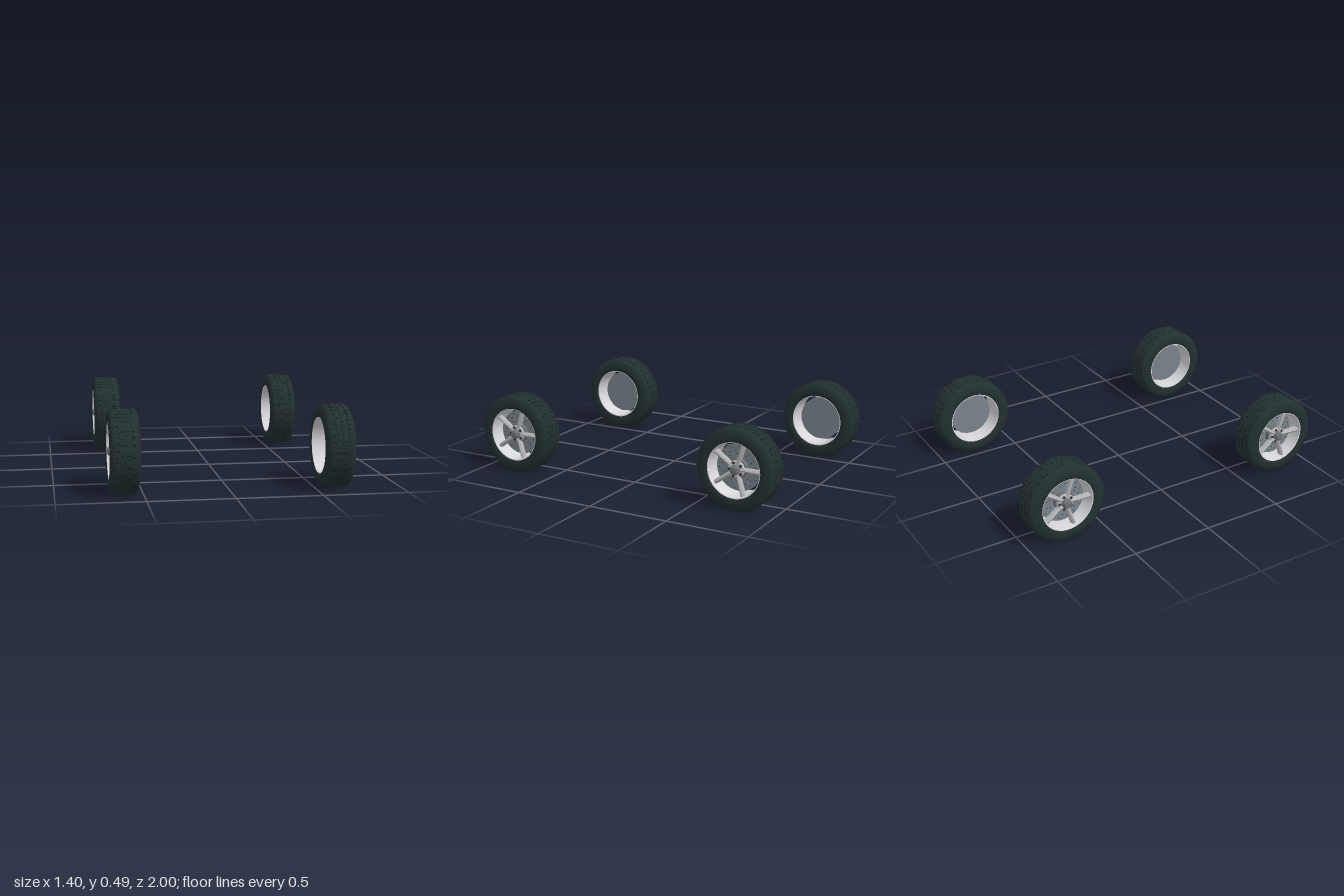
import * as THREE from 'three';
import { mergeGeometries, toCreasedNormals } from 'three/addons/utils/BufferGeometryUtils.js';

const mat = (name, color, side = THREE.FrontSide) =>
  Object.assign(new THREE.MeshStandardMaterial({ color, side }), { name });

const M = {
  rubber: mat('tyre rubber', 0x223030),
  groove: mat('tread groove black', 0x0e1414),
  rim: mat('rim silver', 0xd8d8dc, THREE.DoubleSide),
  spoke: mat('spoke alloy', 0xb4b4b8),
  disc: mat('brake disc steel', 0x78838a),
  hub: mat('hub grey', 0x6c7072),
  dark: mat('bolt and hole dark', 0x2a2e30),
};

const CENTER_X = 0.611, CENTER_Y = 0.243, CENTER_Z = 0.757, R = 0.243;

// Revolves [radius, axial] pairs about the x axis (outer face is +x)
function revolve(points, segments = 64) {
  const g = new THREE.LatheGeometry(points.map(([r, a]) => new THREE.Vector2(r, a)), segments);
  return toCreasedNormals(g.rotateZ(-Math.PI / 2), 0.6);
}

// Cylinder along x, centred at axial position a
const axle = (r, width, a, segments = 48) =>
  new THREE.CylinderGeometry(r, r, width, segments).rotateZ(-Math.PI / 2).translate(a, 0, 0);

// Copies a geometry around the x axis
function ring(geometry, count, offset = 0) {
  const copies = [];
  for (let i = 0; i < count; i++) {
    copies.push(geometry.clone().rotateX(offset + (i / count) * Math.PI * 2));
  }
  return mergeGeometries(copies);
}

// Tyre section with rounded shoulders and circumferential grooves
function tyreGeometry() {
  const p = [[0.162, -0.08], [0.172, -0.086], [0.195, -0.0875], [0.222, -0.081], [0.236, -0.072], [R, -0.058]];
  for (const a of [-0.036, 0, 0.036]) {
    p.push([R, a - 0.0035], [R - 0.006, a - 0.002], [R - 0.006, a + 0.002], [R, a + 0.0035]);
  }
  p.push([R, 0.058], [0.236, 0.072], [0.222, 0.081], [0.195, 0.0875], [0.172, 0.086], [0.162, 0.08]);
  return revolve(p, 80);
}

// Short cross cuts scattered over the four tread ribs
function treadCuts() {
  let seed = 7;
  const rand = () => (seed = (seed * 16807) % 2147483647) / 2147483647;
  const cuts = [];
  for (const a of [-0.047, -0.018, 0.018, 0.047]) {
    for (let i = 0; i < 44; i++) {
      const length = 0.012 + rand() * 0.013;
      if (rand() < 0.4) continue;
      const cut = new THREE.BoxGeometry(length, 0.003, 0.0045);
      cut.translate(a, R - 0.0012, 0).rotateX(((i + rand() * 0.4) / 44) * Math.PI * 2);
      cuts.push(cut);
    }
  }
  return mergeGeometries(cuts);
}

// Ridged spoke pointing to -z, sinking and narrowing towards the hub
function spokeGeometry() {
  const outline = [[0.036, -0.014], [0.058, -0.012], [0.066, 0], [0.058, 0.012], [0.036, 0.014]];
  const shape = new THREE.Shape(outline.map(([x, y]) => new THREE.Vector2(x, y)));
  const g = new THREE.ExtrudeGeometry(shape, { depth: 0.135, steps: 4, bevelEnabled: false });
  g.translate(0, 0, -0.163);
  const pos = g.attributes.position;
  for (let i = 0; i < pos.count; i++) {
    const t = (pos.getZ(i) + 0.163) / 0.135;
    pos.setX(i, pos.getX(i) - 0.008 * t * t);
    pos.setY(i, pos.getY(i) * (1 - 0.2 * t));
  }
  g.computeVertexNormals();
  return g;
}

function buildWheel() {
  const wheel = new THREE.Group();
  const add = (name, geometry, material) => {
    const mesh = new THREE.Mesh(geometry, material);
    mesh.name = name;
    wheel.add(mesh);
  };

  add('tyre', tyreGeometry(), M.rubber);
  add('treadCuts', treadCuts(), M.groove);
  add('rimBarrel', revolve([
    [0.165, -0.082], [0.16, -0.082], [0.156, -0.04], [0.154, 0.01], [0.156, 0.05],
    [0.16, 0.08], [0.165, 0.082], [0.165, -0.082],
  ]), M.rim);

  // Drilled brake disc behind the spokes
  add('brakeDisc', axle(0.138, 0.012, 0.004, 64), M.disc);
  const holes = [];
  for (const [r, count, offset] of [[0.122, 15, 0], [0.102, 15, 0.2], [0.083, 10, 0.1]]) {
    holes.push(ring(axle(0.0032, 0.002, 0.0105, 8).translate(0, r, 0), count, offset));
  }
  add('discHoles', mergeGeometries(holes), M.dark);

  // Hub, spokes, bolts and centre cap
  add('hubCarrier', axle(0.058, 0.028, 0.022), M.hub);
  add('hubFlange', revolve([[0, 0.03], [0.05, 0.03], [0.052, 0.045], [0.046, 0.054], [0, 0.056]], 40), M.spoke);
  add('spokes', ring(spokeGeometry(), 5), M.spoke);
  add('wheelBolts', ring(axle(0.0075, 0.012, 0.053, 12).translate(0, 0, -0.04), 5, Math.PI / 5), M.dark);
  add('centreCap', revolve([[0, 0.05], [0.028, 0.05], [0.028, 0.072], [0.022, 0.083], [0.01, 0.089], [0, 0.089]], 32), M.hub);
  return wheel;
}

export function createModel() {
  const model = new THREE.Group();
  model.name = 'wheelSet';
  const wheel = buildWheel();
  for (const sx of [1, -1]) {
    for (const sz of [1, -1]) {
      const w = wheel.clone();
      w.name = (sz > 0 ? 'front' : 'rear') + (sx > 0 ? 'Left' : 'Right') + 'Wheel';
      w.position.set(sx * CENTER_X, CENTER_Y, sz * CENTER_Z);
      if (sx < 0) w.rotation.y = Math.PI;
      model.add(w);
    }
  }
  return model;
}
